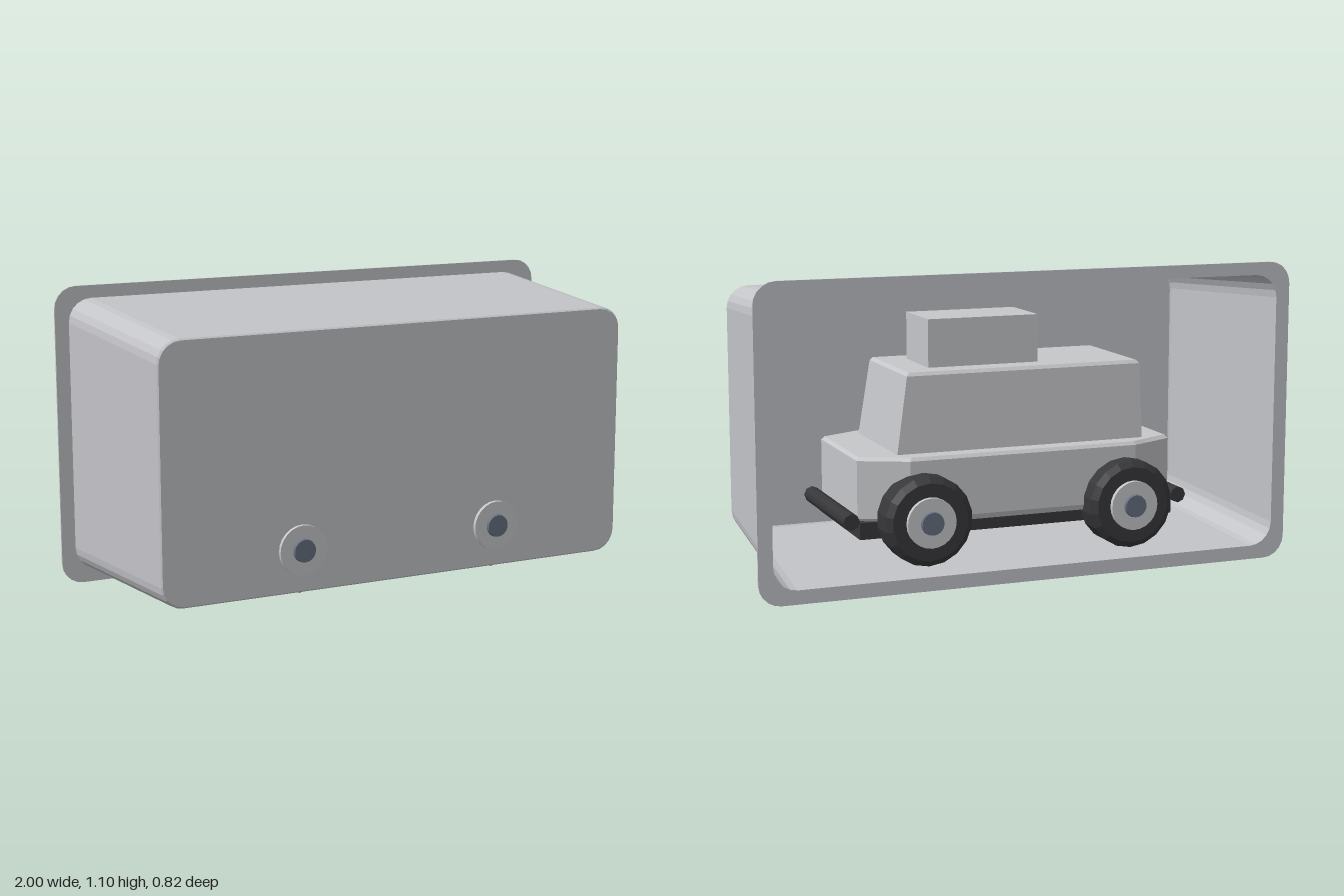
import * as THREE from 'three';

const mat = (name, color, side = THREE.FrontSide) => {
  const m = new THREE.MeshStandardMaterial({ color, side });
  m.name = name;
  return m;
};

// Rounded rectangle loop at depth z, counter-clockwise seen from the front
function roundedLoop(hw, y0, y1, r, z, seg = 5) {
  const corners = [[hw - r, y0 + r, -90], [hw - r, y1 - r, 0], [r - hw, y1 - r, 90], [r - hw, y0 + r, 180]];
  const pts = [];
  for (const [cx, cy, a0] of corners) {
    for (let i = 0; i <= seg; i++) {
      const a = THREE.MathUtils.degToRad(a0 + (90 * i) / seg);
      pts.push([cx + r * Math.cos(a), cy + r * Math.sin(a), z]);
    }
  }
  return pts;
}

// Skin a list of equal loops with crisp flat facets
function skin(loops) {
  const pos = [];
  for (let i = 0; i < loops.length - 1; i++) {
    const n = loops[i].length;
    for (let j = 0; j < n; j++) {
      const k = (j + 1) % n;
      const a = loops[i][j], b = loops[i][k], c = loops[i + 1][j], d = loops[i + 1][k];
      pos.push(...a, ...c, ...b, ...b, ...c, ...d);
    }
  }
  const g = new THREE.BufferGeometry();
  g.setAttribute('position', new THREE.Float32BufferAttribute(pos, 3));
  g.computeVertexNormals();
  return g;
}

// Solid between two outlines [x, z], at heights listed as [y, outline]
function stack(levels) {
  const loops = levels.map(([y, outline]) => outline.map(([x, z]) => [x, y, z]));
  const center = (l) => l.map(() => [0, l[0][1], 0]);
  return skin([center(loops[0]), ...loops, center(loops[loops.length - 1])].reverse());
}

const rect = (x0, x1, hz) => [[x0, hz], [x1, hz], [x1, -hz], [x0, -hz]];

// Octagonal plan with cut corners
const cutPlan = (xe, xs, ze, zs) =>
  [[-xs, zs], [xs, zs], [xe, ze], [xe, -ze], [xs, -zs], [-xs, -zs], [-xe, -ze], [-xe, ze]];

export function createModel() {
  const model = new THREE.Group();
  const shellMat = mat('shell grey', 0xc3c4c8, THREE.DoubleSide);
  const bodyMat = mat('body grey', 0xc6c7ca);
  const tyreMat = mat('tyre black', 0x38383b);
  const hubMat = mat('hub slate', 0x667080);

  const add = (name, geometry, material, parent = model) => {
    const m = new THREE.Mesh(geometry, material);
    m.name = name;
    parent.add(m);
    return m;
  };

  // Tapered tray, open at the back, with a thin flange round the opening
  const front = roundedLoop(0.9, 0.095, 1.002, 0.08, 0.383);
  add('tray', skin([
    front.map(() => [0, 0.55, 0.383]),
    front,
    roundedLoop(0.905, 0.09, 1.007, 0.08, 0.377),
    roundedLoop(0.948, 0.05, 1.054, 0.085, -0.377),
  ]), shellMat);
  add('flange', skin([
    roundedLoop(0.948, 0.05, 1.054, 0.085, -0.377),
    roundedLoop(1, 0, 1.1, 0.08, -0.377),
    roundedLoop(1, 0, 1.1, 0.08, -0.385),
    roundedLoop(0.948, 0.05, 1.054, 0.085, -0.385),
    roundedLoop(0.948, 0.05, 1.054, 0.085, -0.377),
  ]), shellMat);

  // Toy car
  const car = new THREE.Group();
  car.name = 'car';
  model.add(car);
  add('lowerBody', stack([
    [0.22, cutPlan(0.59, 0.43, 0.21, 0.29)],
    [0.24, cutPlan(0.6, 0.43, 0.22, 0.3)],
    [0.445, cutPlan(0.6, 0.43, 0.22, 0.3)],
    [0.457, cutPlan(0.59, 0.425, 0.21, 0.29)],
  ]), bodyMat, car);
  add('cabin', stack([
    [0.45, rect(-0.49, 0.455, 0.228)],
    [0.73, rect(-0.482, 0.412, 0.215)],
    [0.742, rect(-0.472, 0.402, 0.205)],
  ]), bodyMat, car);
  add('roofBox', new THREE.BoxGeometry(0.42, 0.18, 0.24), bodyMat, car).position.set(0.09, 0.825, 0);

  // Underside and bumpers
  add('chassis', new THREE.BoxGeometry(1.2, 0.06, 0.5), tyreMat, car).position.set(0, 0.2, 0);
  for (const s of [-1, 1]) {
    const bumper = add('bumper', new THREE.CylinderGeometry(0.03, 0.03, 0.5, 8), tyreMat, car);
    bumper.rotation.x = Math.PI / 2;
    bumper.position.set(s * 0.63, 0.235, 0);
    const axle = add('axle', new THREE.CylinderGeometry(0.03, 0.03, 0.6, 10), tyreMat, car);
    axle.rotation.x = Math.PI / 2;
    axle.position.set(s * 0.385, 0.243, 0);
  }

  // Wheels: chamfered tyre, flat disc and small hub cap
  const profile = [[0, 0.25], [0.135, 0.25], [0.16, 0.27], [0.16, 0.362], [0.138, 0.38], [0, 0.38]];
  const tyre = new THREE.LatheGeometry(profile.map(([r, y]) => new THREE.Vector2(r, y)), 18).toNonIndexed();
  tyre.computeVertexNormals();
  const disc = new THREE.CylinderGeometry(0.089, 0.09, 0.06, 24).translate(0, 0.367, 0);
  const hub = new THREE.CylinderGeometry(0.04, 0.043, 0.02, 18).translate(0, 0.399, 0);
  for (const x of [-0.385, 0.385]) {
    for (const s of [-1, 1]) {
      const wheel = new THREE.Group();
      wheel.name = 'wheel';
      add('tyre', tyre, tyreMat, wheel);
      add('wheelDisc', disc, bodyMat, wheel);
      add('hubCap', hub, hubMat, wheel);
      wheel.rotation.x = (s * Math.PI) / 2;
      wheel.position.set(x, 0.243, 0);
      car.add(wheel);
    }
  }
  return model;
}
